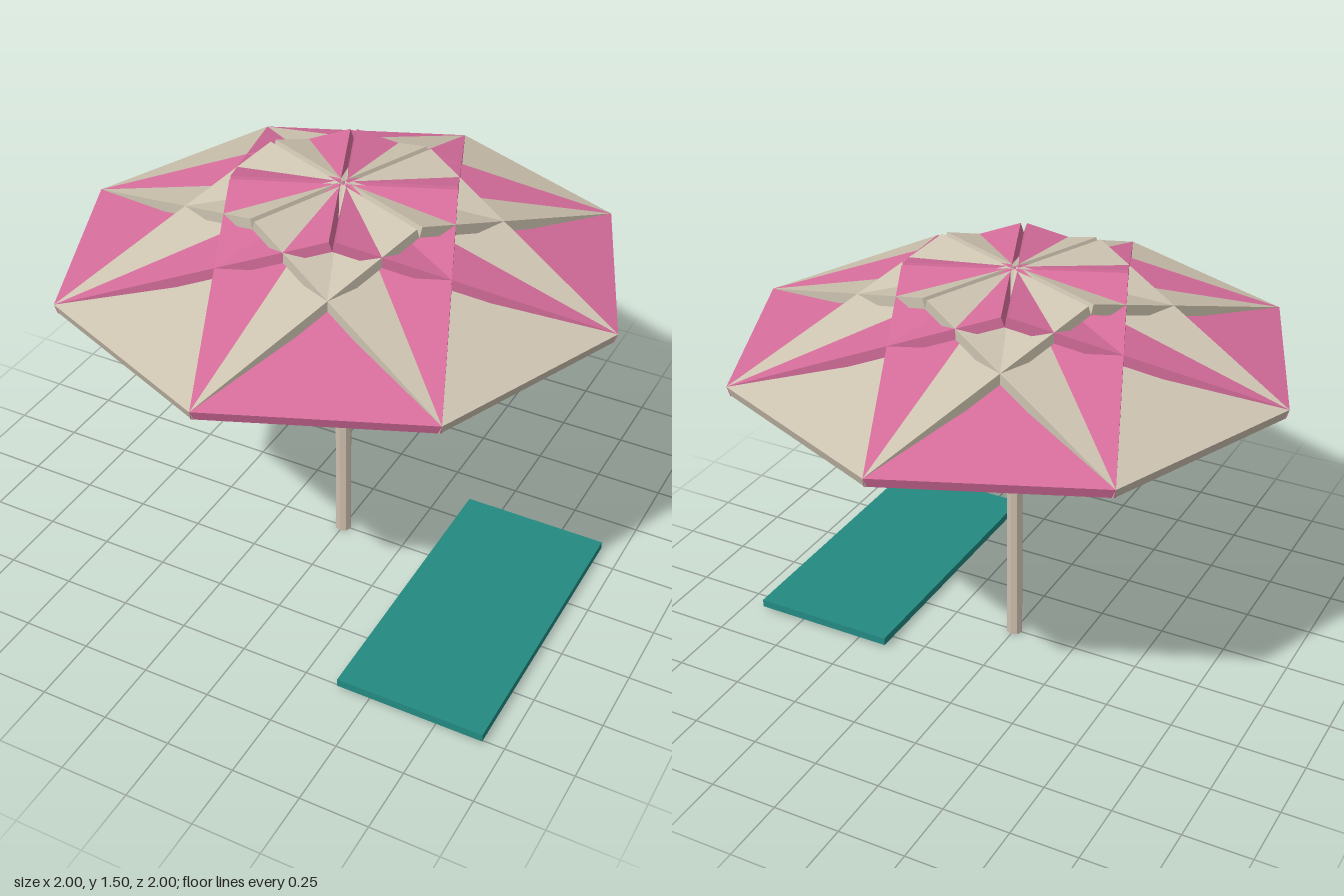
import * as THREE from 'three';

const mat = (name, color) => {
  const m = new THREE.MeshStandardMaterial({ color });
  m.name = name;
  return m;
};

export function createModel() {
  const pink = mat('pink fabric', 0xd66d9b);
  const beige = mat('beige fabric', 0xcdc3b0);
  const wood = mat('pale pole', 0xcdbfae);
  const teal = mat('teal towel', 0x238a82);

  const model = new THREE.Group();
  model.name = 'beachUmbrellaAndTowel';

  const add = (parent, name, geometry, material) => {
    const mesh = new THREE.Mesh(geometry, material);
    mesh.name = name;
    parent.add(mesh);
    return mesh;
  };

  // Canopy: eight overlapping tilted slabs, each one side of an octagon wide
  const sides = 8;
  const width = 2 * Math.sin(Math.PI / sides);
  const apothem = Math.cos(Math.PI / sides);
  const rimY = 1.21;
  const thickness = 0.037;
  const tilt = Math.atan(0.321);
  // the lower inner edge of each slab ends on the pole axis
  const length = (apothem - thickness * Math.sin(tilt)) / Math.cos(tilt);

  const slab = new THREE.BoxGeometry(width, thickness, length);
  slab.translate(0, -thickness / 2, -length / 2);
  slab.rotateX(tilt);
  slab.translate(0, rimY, apothem);

  const canopy = new THREE.Group();
  canopy.name = 'canopy';
  for (let i = 0; i < sides; i++) {
    const panel = add(canopy, 'canopyPanel' + (i + 1), slab, i % 2 ? beige : pink);
    panel.rotation.y = ((i + 0.5) * 2 * Math.PI) / sides;
  }
  model.add(canopy);

  // Pole, eight flat sides
  const poleHeight = 1.46;
  const pole = new THREE.CylinderGeometry(0.03, 0.03, poleHeight, 8).toNonIndexed();
  pole.computeVertexNormals();
  pole.translate(0, poleHeight / 2, 0);
  add(model, 'pole', pole, wood);

  // Towel lying beside the pole
  const towel = add(model, 'towel', new THREE.BoxGeometry(0.545, 0.03, 1.09), teal);
  towel.position.set(0.652, 0.027, 0.22);

  return model;
}
